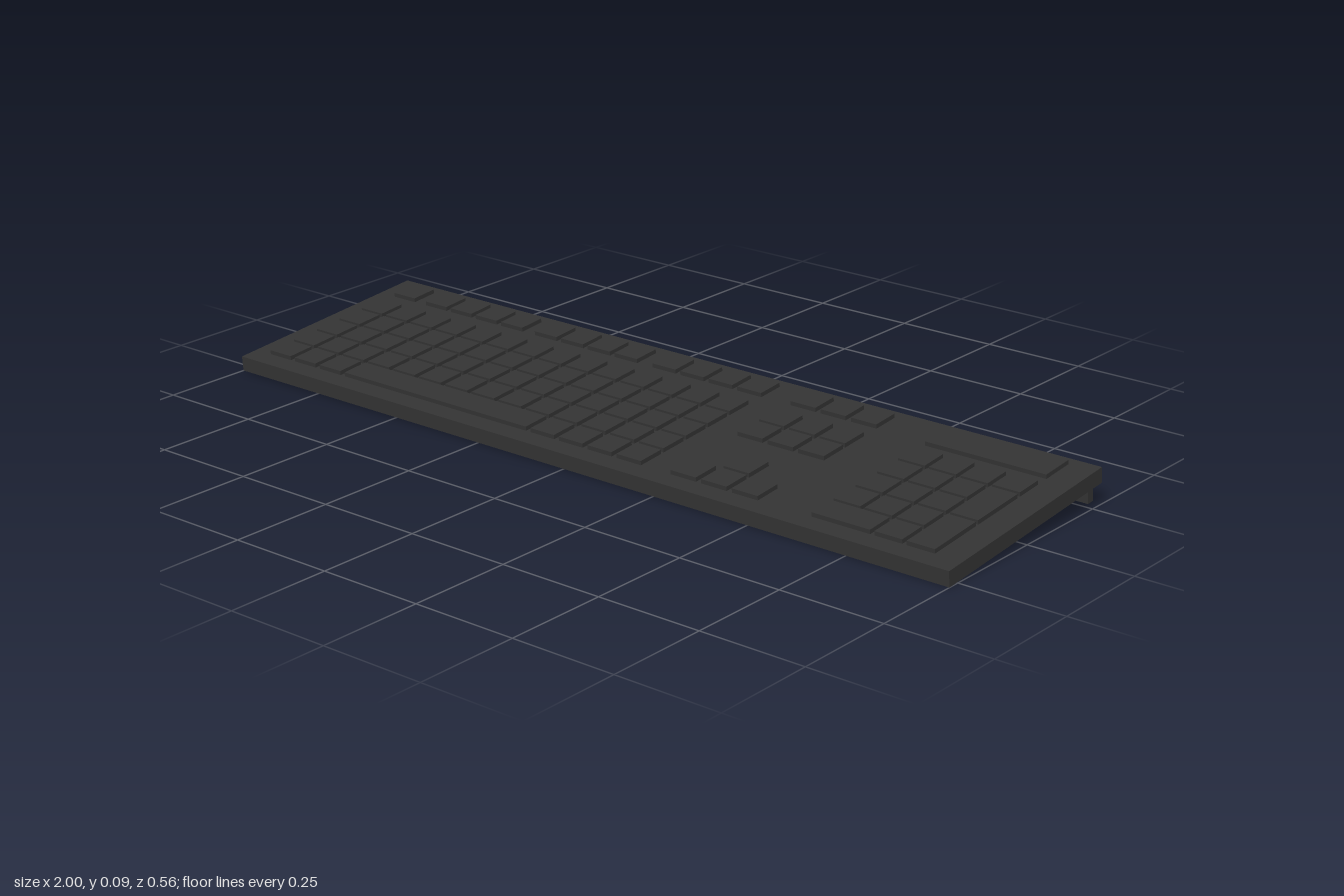
import * as THREE from 'three';

const material = new THREE.MeshStandardMaterial({ color: 0x333333 });

const THICK = 0.036;   // case thickness
const KEY_TOP = 0.046; // key tops above the underside
const KEY_W = 0.068, KEY_D = 0.068;
const PITCH_X = 0.0818, PITCH_Z = 0.0766;
const PAD_PITCH = 0.0785;

function box(name, x0, x1, y0, y1, z0, z1) {
  const mesh = new THREE.Mesh(new THREE.BoxGeometry(x1 - x0, y1 - y0, z1 - z0), material);
  mesh.name = name;
  mesh.position.set((x0 + x1) / 2, (y0 + y1) / 2, (z0 + z1) / 2);
  return mesh;
}

export function createModel() {
  const model = new THREE.Group();
  model.name = 'keyboard';

  // everything leans forward on the rear feet
  const board = new THREE.Group();
  board.name = 'tiltedBoard';
  board.rotation.x = THREE.MathUtils.degToRad(5);
  board.position.set(0, 0.0246, -0.0016);
  model.add(board);

  board.add(box('case', -1, 1, 0, THICK, -0.282, 0.282));

  // rear feet
  for (const s of [-1, 1]) {
    const foot = box('foot', 0.667, 0.982, -0.0445, 0.002, -0.276, -0.257);
    foot.position.x *= s;
    board.add(foot);
  }

  const groups = {};
  for (const name of ['mainKeys', 'functionKeys', 'navigationKeys', 'arrowKeys', 'numberPad']) {
    groups[name] = new THREE.Group();
    groups[name].name = name;
    board.add(groups[name]);
  }
  const key = (group, x, z, w = KEY_W, d = KEY_D, name = 'key') =>
    groups[group].add(box(name, x, x + w, THICK - 0.006, KEY_TOP, z, z + d));

  const rowZ = (r) => -0.1395 + r * PITCH_Z;
  const mainX = (c) => -0.951 + c * PITCH_X;
  const navX = (c) => 0.262 + c * PITCH_X;
  const padX = (c) => 0.631 + c * PAD_PITCH;
  const functionZ = -0.254;

  // main block, with the space bar filling columns 3 to 9 of the last row
  for (let r = 0; r < 5; r++) {
    for (let c = 0; c < 14; c++) {
      if (r === 4 && c >= 3 && c <= 9) continue;
      key('mainKeys', mainX(c), rowZ(r));
    }
  }
  key('mainKeys', mainX(3), rowZ(4), 6 * PITCH_X + KEY_W, KEY_D, 'spaceBar');

  // function row: a single key, then three groups of four
  key('functionKeys', mainX(0), functionZ);
  for (const start of [-0.845, -0.492, mainX(10)]) {
    for (let c = 0; c < 4; c++) key('functionKeys', start + c * PITCH_X, functionZ);
  }

  // navigation cluster and arrows
  for (const z of [functionZ, rowZ(0), rowZ(1)]) {
    for (let c = 0; c < 3; c++) key('navigationKeys', navX(c), z);
  }
  key('arrowKeys', navX(1), rowZ(3));
  for (let c = 0; c < 3; c++) key('arrowKeys', navX(c), rowZ(4));

  // number pad: square keys, two tall keys and one wide key
  const tall = PITCH_Z + KEY_D;
  for (let r = 0; r < 4; r++) {
    for (let c = 0; c < 3; c++) key('numberPad', padX(c), rowZ(r));
  }
  key('numberPad', padX(3), rowZ(0));
  key('numberPad', padX(3), rowZ(1), KEY_W, tall, 'tallKey');
  key('numberPad', padX(3), rowZ(3), KEY_W, tall, 'tallKey');
  key('numberPad', padX(0), rowZ(4), PAD_PITCH + KEY_W, KEY_D, 'wideKey');
  key('numberPad', padX(2), rowZ(4));

  // raised indicator panel above the number pad
  board.add(box('indicatorPanel', padX(0), padX(3) + KEY_W, THICK - 0.006, KEY_TOP, -0.257, -0.171));

  return model;
}
